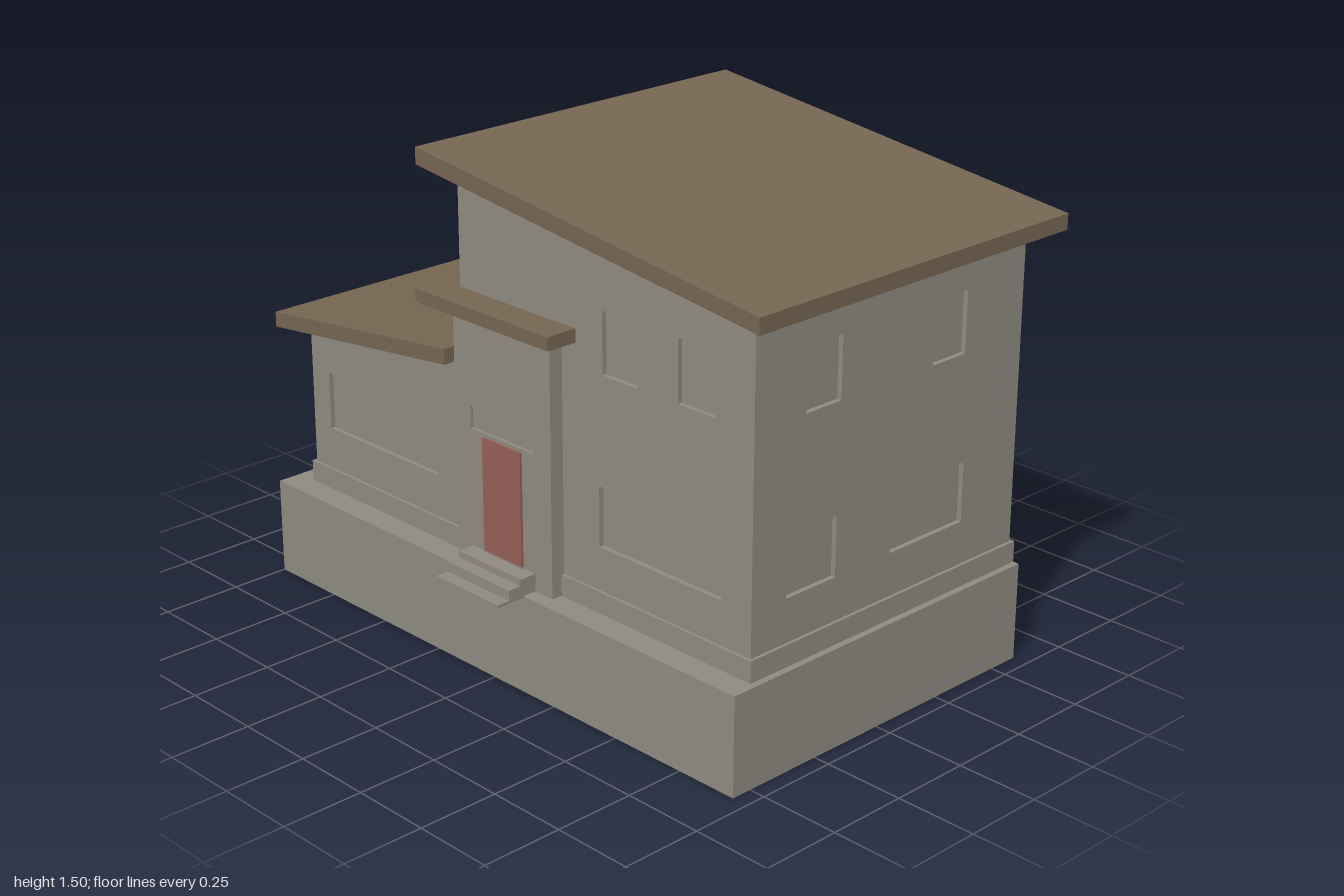
import * as THREE from 'three';

export function createModel() {
  const model = new THREE.Group();
  const material = (name, color) => {
    const m = new THREE.MeshStandardMaterial({ color });
    m.name = name;
    return m;
  };
  const stone = material('warm grey stone', 0x8e8a81);
  const roofing = material('brown roofing', 0x766552);
  const doorRed = material('muted red door', 0x945f56);

  const add = (name, geometry, mat) => {
    const mesh = new THREE.Mesh(geometry, mat);
    mesh.name = name;
    model.add(mesh);
    return mesh;
  };
  // Box given by its limits on each axis
  const box = (name, [x0, x1], [y0, y1], [z0, z1], mat) => {
    const g = new THREE.BoxGeometry(x1 - x0, y1 - y0, z1 - z0);
    return add(name, g.translate((x0 + x1) / 2, (y0 + y1) / 2, (z0 + z1) / 2), mat);
  };
  // Outline in the x-y plane with rectangular holes, extruded from z0 to z1
  const slab = (points, z0, z1, holes = []) => {
    const shape = new THREE.Shape(points.map(([x, y]) => new THREE.Vector2(x, y)));
    for (const [x0, x1, y0, y1] of holes) {
      shape.holes.push(new THREE.Path([[x0, y0], [x0, y1], [x1, y1], [x1, y0]]
        .map(([x, y]) => new THREE.Vector2(x, y))));
    }
    return new THREE.ExtrudeGeometry(shape, { depth: z1 - z0, bevelEnabled: false }).translate(0, 0, z0);
  };

  const T = 0.015; // depth of the window recesses
  const FRONT = 0.475, BACK = -0.59, FLOOR = 0.3;
  const LOW = [0.495, 0.675], HIGH = [1.0, 1.183];

  // Foundation and plinth band
  box('foundation', [-1, 0.95], [0, FLOOR], [-0.6, 0.565], stone);
  box('plinth', [-0.935, 0.93], [FLOOR, 0.365], [-0.6, 0.485], stone);

  // Each block is a core wrapped in thin walls pierced by the windows
  const block = (name, x0, x1, topLeft, topRight, frontWindows, backWindows) => {
    const slope = (topRight - topLeft) / (x1 - x0);
    const outline = (inset) => [
      [x0 + inset, FLOOR], [x1 - inset, FLOOR],
      [x1 - inset, topRight - slope * inset], [x0 + inset, topLeft + slope * inset],
    ];
    add(name + 'Core', slab(outline(T), BACK + T, FRONT - T), stone);
    add(name + 'FrontWall', slab(outline(0), FRONT - T, FRONT, frontWindows), stone);
    add(name + 'BackWall', slab(outline(0), BACK, BACK + T, backWindows), stone);
  };
  // Side wall facing along x; windows are given as z limits and y limits
  const sideWall = (name, x, bottom, top, windows) => {
    const holes = windows.map(([z0, z1, y0, y1]) => [-z1, -z0, y0, y1]);
    const outline = [[-FRONT, bottom], [-BACK, bottom], [-BACK, top], [-FRONT, top]];
    add(name, slab(outline, 0, T, holes).rotateY(Math.PI / 2).translate(x, 0, 0), stone);
  };

  block('tallBlock', -0.22, 0.92, 1.446, 1.311,
    [[0.36, 0.495, ...HIGH], [0.645, 0.78, ...HIGH], [0.345, 0.81, ...LOW]],
    [[0.26, 0.395, ...HIGH], [0.69, 0.825, ...HIGH], [0.34, 0.707, ...LOW]]);
  sideWall('tallBlockLeftWall', 0.92 - T, FLOOR, 1.311, [
    [0.15, 0.285, ...HIGH], [-0.35, -0.215, ...HIGH],
    [0.155, 0.345, ...LOW], [-0.365, -0.065, ...LOW]]);
  sideWall('tallBlockRightWall', -0.22, 0.8, 1.446, [[-0.13, 0.01, 1.02, HIGH[1]]]);

  block('lowWing', -0.925, -0.2, 0.81, 0.892,
    [[-0.845, -0.345, ...LOW]], [[-0.74, -0.46, ...LOW]]);
  sideWall('lowWingRightWall', -0.925, FLOOR, 0.81,
    [[-0.375, -0.195, ...LOW], [-0.03, 0.22, ...LOW]]);

  // Sloping roofs
  add('tallRoof', slab([[-0.31, 1.455], [1, 1.3], [1, 1.347], [-0.31, 1.505]], -0.667, 0.548), roofing);
  add('lowRoof', slab([[-1, 0.8], [-0.21, 0.893], [-0.21, 0.94], [-1, 0.847]], -0.667, 0.548), roofing);

  // Entrance bay with a recessed panel over the door, and its canopy
  box('entranceCore', [-0.195, 0.195], [FLOOR, 1.065], [FRONT - T, 0.51], stone);
  add('entranceFront', slab([[-0.2, FLOOR], [0.2, FLOOR], [0.2, 1.07], [-0.2, 1.07]],
    FRONT - T, 0.52, [[-0.135, 0.13, 0.717, 0.785]]), stone);
  box('canopy', [-0.295, 0.255], [1.065, 1.105], [FRONT - T, 0.575], roofing);
  box('door', [-0.08, 0.08], [0.36, 0.706], [0.515, 0.527], doorRed);
  box('doorSill', [-0.08, 0.08], [FLOOR, 0.36], [0.515, 0.527], stone);

  // Entrance steps, from the top down
  [[0.355, 0.335, 0.51, 0.575], [0.335, 0.302, 0.51, 0.618], [0.304, 0.296, 0.56, 0.66]]
    .forEach(([top, bottom, z0, z1], i) =>
      box('step' + (i + 1), [-0.135, 0.13], [bottom, top], [z0, z1], stone));

  return model;
}
